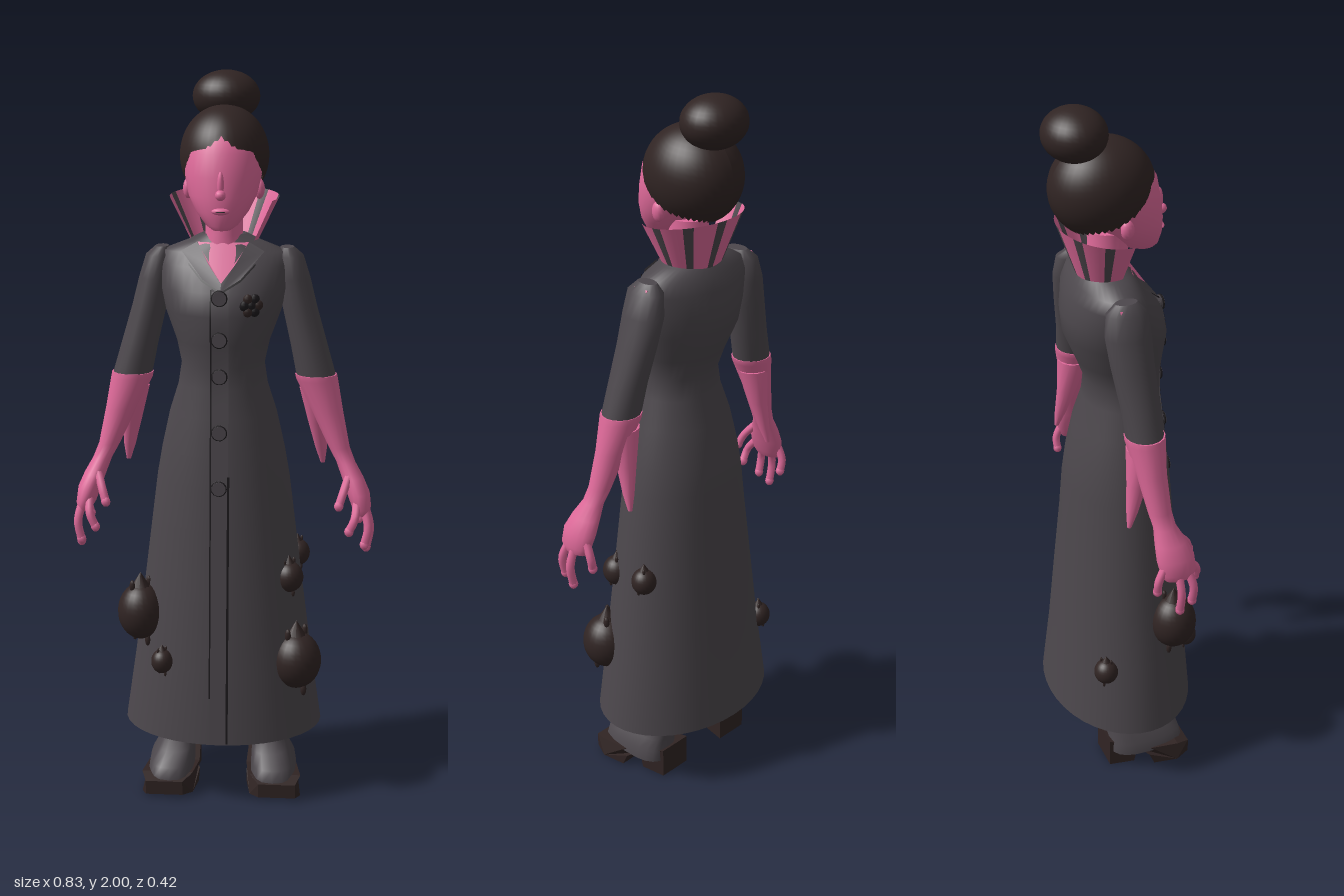
import * as THREE from 'three';

const mat = (name, color) => {
  const m = new THREE.MeshStandardMaterial({ color, side: THREE.DoubleSide });
  m.name = name;
  return m;
};

// Closed surface through horizontal rings [y, cx, cz, rx, rz], listed upwards; e > 2 squares the rings.
function loft(rows, seg = 24, e = 2) {
  const pos = [], idx = [], n = rows.length;
  const bend = (v) => Math.sign(v) * Math.abs(v) ** (2 / e);
  const ring = ([y, cx, cz, rx, rz]) => {
    for (let j = 0; j < seg; j++) {
      const a = (j / seg) * Math.PI * 2;
      pos.push(cx + rx * bend(Math.sin(a)), y, cz + rz * bend(Math.cos(a)));
    }
  };
  rows.forEach(ring);
  for (let i = 0; i < n - 1; i++) for (let j = 0; j < seg; j++) {
    const k = (j + 1) % seg, a = i * seg + j, b = i * seg + k;
    idx.push(a, b, b + seg, a, b + seg, a + seg);
  }
  // end caps with their own vertices
  [[rows[0], true], [rows[n - 1], false]].forEach(([r, low]) => {
    const s = pos.length / 3;
    ring(r);
    pos.push(r[1], r[0], r[2]);
    for (let j = 0; j < seg; j++) {
      const k = (j + 1) % seg;
      low ? idx.push(s + seg, s + k, s + j) : idx.push(s + seg, s + j, s + k);
    }
  });
  const g = new THREE.BufferGeometry();
  g.setAttribute('position', new THREE.Float32BufferAttribute(pos, 3));
  g.setIndex(idx);
  g.computeVertexNormals();
  return g;
}

// rows given as [y, half width, front z, back z]
const body = (rows) => rows.map(([y, rx, f, b]) => [y, 0, (f + b) / 2, rx, (f - b) / 2]);

const COAT = body([
  [0.195, 0.278, 0.207, -0.207], [0.4, 0.248, 0.19, -0.185], [0.6, 0.222, 0.172, -0.168],
  [0.8, 0.197, 0.155, -0.15], [0.92, 0.182, 0.146, -0.142], [1.0, 0.168, 0.138, -0.132],
  [1.1, 0.146, 0.128, -0.112], [1.18, 0.121, 0.118, -0.088], [1.24, 0.112, 0.117, -0.083],
  [1.3, 0.125, 0.124, -0.105], [1.38, 0.155, 0.132, -0.138], [1.44, 0.168, 0.118, -0.142],
  [1.5, 0.175, 0.075, -0.132], [1.535, 0.165, 0.05, -0.115], [1.56, 0.1, 0.035, -0.1],
  [1.58, 0.06, 0.02, -0.08],
]);

// Front surface of the coat at (x, y)
function front(x, y) {
  let i = 0;
  while (i < COAT.length - 2 && COAT[i + 1][0] < y) i++;
  const t = (y - COAT[i][0]) / (COAT[i + 1][0] - COAT[i][0]);
  const [cz, rx, rz] = [2, 3, 4].map((k) => COAT[i][k] + t * (COAT[i + 1][k] - COAT[i][k]));
  return cz + rz * Math.sqrt(Math.max(0, 1 - (x / rx) ** 2));
}

// Lay a flat geometry on the front of the coat
function drape(g, off) {
  const p = g.attributes.position;
  for (let i = 0; i < p.count; i++) p.setZ(i, front(p.getX(i), p.getY(i)) + off);
  g.computeVertexNormals();
  return g;
}

export function createModel() {
  const root = new THREE.Group();
  root.name = 'figure';
  const coat = mat('coat grey', 0x4c474c), dark = mat('dark brown', 0x302423);
  const pink = mat('pink', 0xdf6a9a), line = mat('seam black', 0x1c191c);
  const add = (name, geo, m, x = 0, y = 0, z = 0) => {
    const o = new THREE.Mesh(geo, m);
    o.name = name;
    o.position.set(x, y, z);
    root.add(o);
    return o;
  };
  const ball = (name, m, x, y, z, rx, ry, rz, seg = 20) => {
    const o = add(name, new THREE.SphereGeometry(1, seg, Math.ceil(seg * 0.7)), m, x, y, z);
    o.scale.set(rx, ry, rz);
    return o;
  };

  // Coat, placket and seams
  add('coat', loft(COAT, 40), coat);
  const strip = (w, x, y0, y1) =>
    new THREE.PlaneGeometry(w, y1 - y0, 1, 30).translate(x, (y0 + y1) / 2, 0);
  add('placket', drape(strip(0.046, -0.002, 0.197, 1.46), 0.004), coat);
  add('placketSeamRight', drape(strip(0.004, -0.026, 0.33, 1.45), 0.005), line);
  add('placketSeamLeft', drape(strip(0.006, 0.022, 0.2, 0.95), 0.005), line);
  [1.43, 1.32, 1.22, 1.07, 0.92].forEach((y) => {
    const b = add('button', new THREE.CylinderGeometry(0.019, 0.021, 0.012, 10), coat, -0.003, y, front(0, y) + 0.007);
    b.rotation.x = Math.PI / 2;
    add('buttonRim', new THREE.TorusGeometry(0.019, 0.003, 5, 14), line, -0.003, y, front(0, y) + 0.009);
  });

  // Neckline and lapels
  const shape = (pts) => new THREE.ShapeGeometry(new THREE.Shape(pts.map((p) => new THREE.Vector2(...p))));
  add('neckline', drape(shape([[0, 1.465], [0.035, 1.51], [0.068, 1.562], [0, 1.562], [-0.068, 1.562], [-0.035, 1.51]]), 0.006), pink);
  for (const s of [1, -1]) {
    add('lapel', drape(shape([[0, 1.445], [s * 0.05, 1.475], [s * 0.11, 1.54], [s * 0.07, 1.562], [s * 0.035, 1.51], [0, 1.465]]), 0.009), coat);
    add('lapelSeam', drape(shape([[0, 1.441], [s * 0.052, 1.47], [s * 0.088, 1.507], [s * 0.088, 1.512], [s * 0.05, 1.475], [0, 1.446]]), 0.011), line);
  }

  // Rose brooch
  const rose = new THREE.Group();
  rose.name = 'brooch';
  rose.position.set(0.08, 1.41, front(0.08, 1.41) + 0.007);
  rose.rotation.y = 0.4;
  const petal = new THREE.SphereGeometry(0.014, 8, 6).scale(1, 1, 0.5);
  for (let i = 0; i < 6; i++) {
    const p = new THREE.Mesh(petal, i % 2 ? line : dark);
    p.position.set(0.019 * Math.cos(i * 1.047), 0.019 * Math.sin(i * 1.047), 0);
    rose.add(p);
  }
  rose.add(new THREE.Mesh(petal, line));
  root.add(rose);

  // Neck and face
  add('neck', loft([[1.5, 0, -0.025, 0.07, 0.07], [1.54, 0, -0.02, 0.066, 0.065], [1.58, 0, -0.02, 0.05, 0.054], [1.67, 0, -0.02, 0.05, 0.052]]), pink);
  add('face', loft(body([
    [1.603, 0.024, 0.108, 0.05], [1.615, 0.042, 0.117, 0.02], [1.65, 0.07, 0.124, -0.02],
    [1.69, 0.09, 0.124, -0.06], [1.74, 0.101, 0.118, -0.09], [1.8, 0.101, 0.107, -0.11],
    [1.84, 0.085, 0.083, -0.11], [1.87, 0.05, 0.045, -0.09]]), 32), pink);
  ball('noseTip', pink, 0, 1.697, 0.126, 0.014, 0.014, 0.016, 12);
  ball('noseBridge', pink, 0, 1.722, 0.119, 0.009, 0.035, 0.013, 12);
  ball('lips', pink, 0, 1.655, 0.122, 0.024, 0.009, 0.011, 12);
  ball('mouthSeam', line, 0, 1.655, 0.1325, 0.013, 0.0015, 0.002, 8);

  // Hair cap whose lower edge follows the hairline, plus bun
  const hair = new THREE.SphereGeometry(1, 40, 20), hp = hair.attributes.position, uv = hair.attributes.uv;
  for (let i = 0; i < hp.count; i++) {
    const phi = uv.getX(i) * Math.PI * 2;
    const d = Math.abs((uv.getX(i) * 360) - 180) / 90;
    const end = THREE.MathUtils.degToRad(d < 1 ? 66 + 64 * d : 130 + 20 * (d - 1));
    const th = (1 - uv.getY(i)) * end;
    hp.setXYZ(i, 0.118 * Math.sin(th) * Math.sin(phi + Math.PI), 0.13 * Math.cos(th), 0.138 * Math.sin(th) * Math.cos(phi + Math.PI));
  }
  hair.computeVertexNormals();
  add('hair', hair, dark, 0, 1.785, -0.036);
  ball('bun', dark, 0, 1.932, -0.106, 0.09, 0.068, 0.083, 28);

  // Striped standing collar, open at the front
  let a = 62;
  for (let i = 0; i < 11; i++) {
    const w = i % 2 ? 12 : 27.5, rad = THREE.MathUtils.degToRad;
    const g = new THREE.CylinderGeometry(0.146, 0.085, 0.13, 4, 1, true, rad(a), rad(w));
    const p = g.attributes.position;
    for (let k = 0; k < p.count; k++) if (p.getY(k) > 0) p.setY(k, 0.062 - p.getZ(k) * 0.09);
    add('collarPanel', g.scale(1, 1, 0.8), i % 2 ? coat : pink, 0, 1.615, -0.035);
    a += w;
  }

  // Arms, hands and boots
  for (const s of [1, -1]) {
    const limb = (name, rows, m, seg, e) =>
      add(name, loft(rows.map(([y, x, ...r]) => [y, s * x, ...r]), seg, e), m);
    ball('ear', pink, s * 0.094, 1.7, -0.004, 0.014, 0.027, 0.018, 12);
    limb('sleeve', [
      [1.19, 0.252, -0.02, 0.054, 0.05], [1.28, 0.23, -0.026, 0.05, 0.052], [1.38, 0.204, -0.035, 0.047, 0.058],
      [1.46, 0.186, -0.04, 0.045, 0.062], [1.52, 0.176, -0.04, 0.036, 0.055], [1.543, 0.168, -0.038, 0.018, 0.03]], coat, 16);
    add('shoulderPatch', new THREE.BoxGeometry(0.022, 0.008, 0.045), pink, s * 0.198, 1.522, -0.042).rotation.z = -s * 0.9;
    limb('glove', [
      [0.82, 0.383, 0.025, 0.018, 0.038], [0.84, 0.38, 0.025, 0.027, 0.05], [0.88, 0.37, 0.02, 0.032, 0.053],
      [0.92, 0.354, 0.012, 0.03, 0.044], [0.96, 0.335, 0.003, 0.026, 0.031], [1.0, 0.316, -0.004, 0.029, 0.032],
      [1.1, 0.282, -0.014, 0.043, 0.04], [1.185, 0.253, -0.02, 0.057, 0.053], [1.2, 0.25, -0.02, 0.057, 0.053]], pink, 16);
    limb('gloveCuffPoint', [
      [0.935, 0.272, -0.07, 0.006, 0.006], [0.98, 0.267, -0.06, 0.016, 0.016],
      [1.06, 0.257, -0.043, 0.027, 0.028], [1.16, 0.25, -0.027, 0.045, 0.042]], pink, 12);
    [
      [[0.345, 0.93, 0.035], [0.328, 0.885, 0.07], [0.318, 0.855, 0.082]],
      [[0.367, 0.86, 0.055], [0.362, 0.82, 0.085], [0.347, 0.785, 0.088]],
      [[0.383, 0.85, 0.045], [0.399, 0.79, 0.062], [0.39, 0.74, 0.062]],
      [[0.387, 0.85, 0.02], [0.405, 0.78, 0.025], [0.396, 0.722, 0.025]],
      [[0.38, 0.87, -0.01], [0.383, 0.82, -0.032], [0.376, 0.785, -0.032]],
    ].forEach((pts) => {
      const v = pts.map(([x, y, z]) => new THREE.Vector3(s * x, y, z));
      add('finger', new THREE.TubeGeometry(new THREE.CatmullRomCurve3(v), 8, 0.0115, 8), pink);
      ball('fingertip', pink, v[2].x, v[2].y, v[2].z, 0.013, 0.015, 0.013, 8);
    });

    limb('boot', [
      [0.05, 0.146, 0.034, 0.066, 0.112], [0.085, 0.144, 0.03, 0.062, 0.108], [0.115, 0.135, 0.01, 0.052, 0.084],
      [0.15, 0.128, -0.018, 0.044, 0.06], [0.25, 0.122, -0.024, 0.042, 0.053]], coat, 20, 2.8);
    const side = new THREE.Shape([[0.11, 0], [0.15, 0.01], [0.15, 0.05], [0.11, 0.062], [0.03, 0.06], [-0.085, 0.09],
      [-0.085, 0], [-0.012, 0], [-0.002, 0.048], [0.025, 0.035], [0.04, 0]].map((p) => new THREE.Vector2(...p)));
    const sole = new THREE.ExtrudeGeometry(side, { depth: 0.144, bevelEnabled: false }).translate(0, 0, -0.072).rotateY(-Math.PI / 2);
    const sp = sole.attributes.position;
    for (let i = 0; i < sp.count; i++) {
      const z = sp.getZ(i), k = z < 0.01 ? 0.68 : z > 0.14 ? 0.72 : 1;
      sp.setX(i, sp.getX(i) * k + s * (0.135 + 0.16 * z));
    }
    sole.computeVertexNormals();
    add('sole', sole, dark);
  }

  // Round pods hanging on the skirt, with pointed ends and small nubs
  [
    [-0.225, 0.54, 0.085, 0.064, 0.08], [0.208, 0.412, 0.1, 0.07, 0.08], [-0.16, 0.42, 0.155, 0.03, 0.034],
    [0.185, 0.648, 0.078, 0.04, 0.043], [0.205, 0.675, -0.05, 0.035, 0.038], [-0.205, 0.4, -0.11, 0.034, 0.037],
  ].forEach(([x, y, z, r, ry]) => {
    ball('pod', dark, x, y, z, r, ry, r, 24);
    add('podStem', new THREE.ConeGeometry(r * 0.5, r * 0.8, 10), dark, x, y + ry * 1.1, z);
    for (let i = 0; i < 4; i++) {
      const t = i * 1.571 + 0.8, h = i % 2 ? 1 : -1;
      ball('podNub', dark, x + r * 0.45 * Math.cos(t), y + h * ry * 0.98, z + r * 0.45 * Math.sin(t), r * 0.12, r * 0.28, r * 0.12, 8);
    }
  });
  return root;
}
